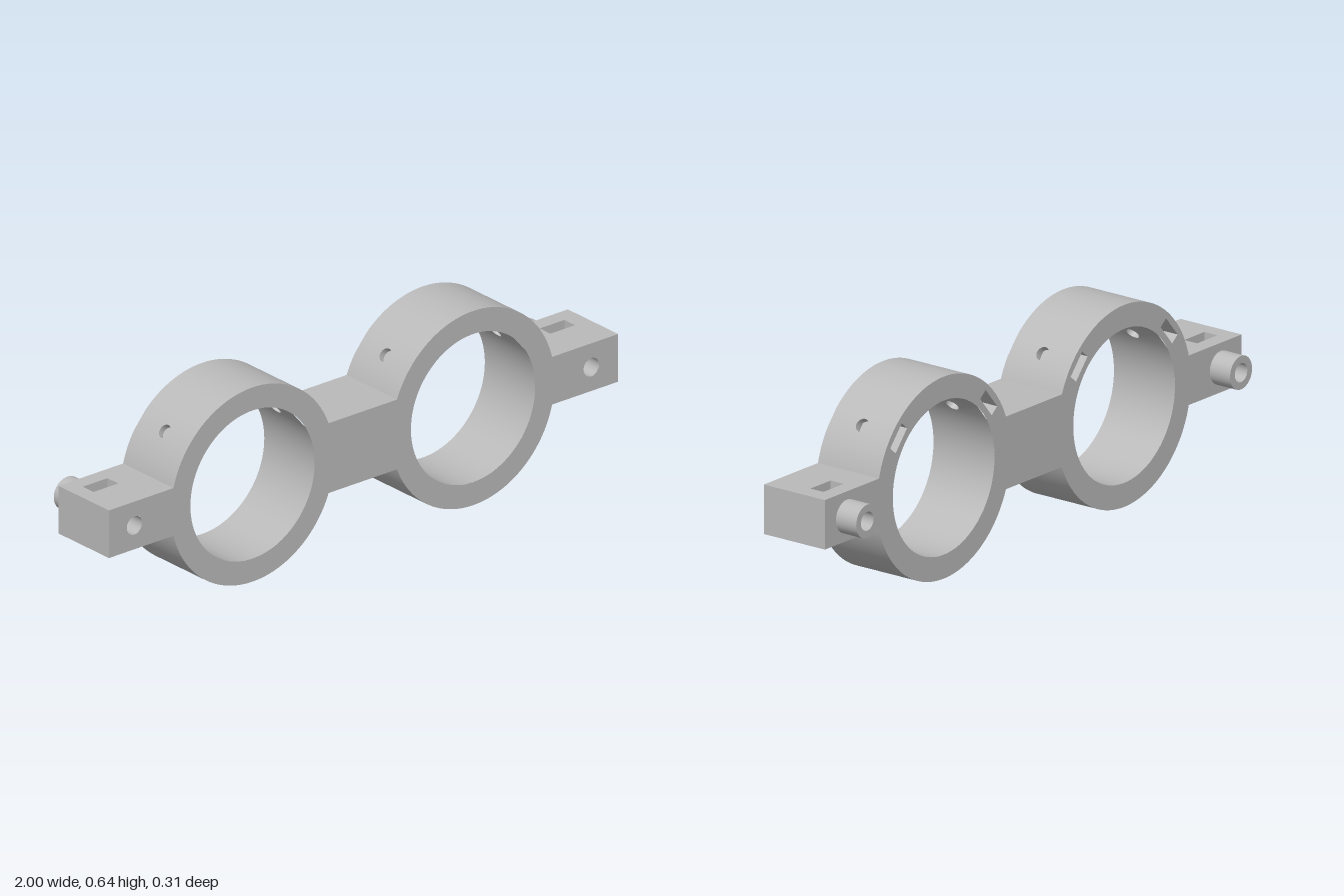
import * as THREE from 'three';
import { mergeGeometries } from 'three/addons/utils/BufferGeometryUtils.js';

const R = 0.32, BORE = 0.244, CX = 0.433, CY = 0.322; // ring radii and centre
const Z0 = -0.077, Z1 = 0.158, ZM = (Z0 + Z1) / 2, DEPTH = Z1 - Z0;
const TAB = 0.0785, BRIDGE = 0.115;                   // half heights
const AT = Math.asin(TAB / R), AB = Math.asin(BRIDGE / R);
const SCREW_X = 0.897, SCREW_R = 0.03, BOSS_R = 0.053, BOSS_Z = -0.155;
const PIN_R = 0.022, PIN_Z = 0.04, PIN_ANGLES = [40, 140].map(THREE.MathUtils.degToRad);
const NUT = { w: 0.086, t: 0.034, r: 0.282, depth: 0.16 };
const SLOT = { w: 0.097, t: 0.05, depth: 0.13 };
const endX = (s) => s + 0.003;
const PI = Math.PI;

const grey = new THREE.MeshStandardMaterial({ color: 0xbababa });
grey.name = 'grey';

function part(name, geometries) {
  const list = geometries.map((g) => (g.index ? g.toNonIndexed() : g));
  const mesh = new THREE.Mesh(mergeGeometries(list), grey);
  mesh.name = name;
  return mesh;
}

// Turn a surface inside out
function flip(g) {
  const i = g.index.array, n = g.attributes.normal.array;
  for (let k = 0; k < i.length; k += 3) [i[k], i[k + 1]] = [i[k + 1], i[k]];
  for (let k = 0; k < n.length; k++) n[k] = -n[k];
  return g;
}

function rectPath(cx, cy, w, h, angle = 0) {
  const c = Math.cos(angle), s = Math.sin(angle);
  return new THREE.Path([[-1, -1], [-1, 1], [1, 1], [1, -1]].map(([a, b]) => {
    const x = a * w / 2, y = b * h / 2;
    return new THREE.Vector2(cx + x * c - y * s, cy + x * s + y * c);
  }));
}
const rectShape = (cx, cy, w, h) => new THREE.Shape(rectPath(cx, cy, w, h).getPoints().reverse());
const circle = (x, y, r) => new THREE.Path().absarc(x, y, r, 0, 2 * PI, true);

// Inner wall of a round hole along z
function bore(r, z0, z1) {
  const g = new THREE.CylinderGeometry(r, r, z1 - z0, 32, 1, true).rotateX(PI / 2);
  return flip(g).translate(0, 0, (z0 + z1) / 2);
}

// Curved wall from angle a0 to a1, optionally pierced in the middle
function bentPatch(r, a0, a1, pierced) {
  const mid = (a0 + a1) / 2, w = (a1 - a0) * r;
  let g;
  if (pierced) {
    const shape = rectShape(0, ZM, w, DEPTH);
    shape.holes.push(circle(0, PIN_Z, PIN_R));
    g = new THREE.ShapeGeometry(shape, 12);
  } else {
    g = new THREE.PlaneGeometry(w, DEPTH, Math.ceil((a1 - a0) / 0.06), 1).translate(0, ZM, 0);
  }
  const p = g.attributes.position, n = g.attributes.normal;
  for (let i = 0; i < p.count; i++) {
    const a = mid + p.getX(i) / r, z = p.getY(i);
    p.setXYZ(i, r * Math.cos(a), r * Math.sin(a), z);
    n.setXYZ(i, Math.cos(a), Math.sin(a), 0);
  }
  return g;
}

// Curved wall with pin holes at both pin angles
function piercedWall(r, a0, a1) {
  const half = 0.035 / r, out = [];
  let a = a0;
  for (const pin of PIN_ANGLES) {
    out.push(bentPatch(r, a, pin - half), bentPatch(r, pin - half, pin + half, true));
    a = pin + half;
  }
  out.push(bentPatch(r, a, a1));
  return out;
}

// Blind nut pocket: mouth at y = 0, sinking along -y, pierced along z
function pocket({ w, t, depth }, holeY, holeR) {
  const side = () => {
    const shape = rectShape(0, -depth / 2, w, depth);
    shape.holes.push(circle(0, holeY, holeR));
    return new THREE.ShapeGeometry(shape, 16);
  };
  return [
    side().translate(0, 0, -t / 2),
    flip(side()).translate(0, 0, t / 2),
    new THREE.PlaneGeometry(t, depth).rotateY(PI / 2).translate(-w / 2, -depth / 2, 0),
    new THREE.PlaneGeometry(t, depth).rotateY(-PI / 2).translate(w / 2, -depth / 2, 0),
    new THREE.PlaneGeometry(w, t).rotateX(-PI / 2).translate(0, -depth, 0),
  ];
}

// Whole silhouette with ring bores and screw holes
function outline() {
  const s = new THREE.Shape();
  s.moveTo(endX(1), -TAB);
  s.lineTo(endX(1), TAB);
  s.absarc(CX, 0, R, AT, PI - AB);
  s.absarc(-CX, 0, R, AB, PI - AT);
  s.lineTo(endX(-1), TAB);
  s.lineTo(endX(-1), -TAB);
  s.absarc(-CX, 0, R, PI + AT, 2 * PI - AB);
  s.absarc(CX, 0, R, PI + AB, 2 * PI - AT);
  for (const k of [-1, 1]) s.holes.push(circle(k * CX, 0, BORE), circle(k * SCREW_X, 0, SCREW_R));
  return s;
}

export function createModel() {
  const model = new THREE.Group();
  model.name = 'doubleRingClamp';
  model.position.set(-0.003, CY, 0);

  // Front and back faces
  const back = outline();
  for (const k of [-1, 1]) for (const a of PIN_ANGLES) {
    back.holes.push(rectPath(k * CX + NUT.r * Math.cos(a), NUT.r * Math.sin(a), NUT.t, NUT.w, a));
  }
  model.add(part('frontFace', [new THREE.ShapeGeometry(outline(), 64).translate(0, 0, Z1)]));
  model.add(part('backFace', [flip(new THREE.ShapeGeometry(back, 64)).translate(0, 0, Z0)]));

  // Bridge between the rings
  const bw = 2 * (CX - R * Math.cos(AB));
  model.add(part('bridge', [1, -1].map((k) =>
    new THREE.PlaneGeometry(bw, DEPTH).rotateX(-k * PI / 2).translate(0, k * BRIDGE, ZM))));

  for (const s of [1, -1]) {
    const label = s > 0 ? 'left' : 'right';

    // Ring walls
    const right = s > 0 ? AT : AB, left = s > 0 ? AB : AT;
    const ring = new THREE.Group();
    ring.name = label + 'Ring';
    ring.position.x = s * CX;
    ring.add(part('outerWall', [
      ...piercedWall(R, right, PI - left),
      bentPatch(R, PI + left, 2 * PI - right),
    ]));
    ring.add(part('innerWall', piercedWall(BORE, 0, 2 * PI).map(flip)));

    // Nut pockets and radial pin holes
    for (const a of PIN_ANGLES) {
      const m = new THREE.Matrix4().makeBasis(
        new THREE.Vector3(Math.sin(a), -Math.cos(a), 0),
        new THREE.Vector3(0, 0, -1),
        new THREE.Vector3(Math.cos(a), Math.sin(a), 0));
      const nut = pocket(NUT, Z0 - PIN_Z, PIN_R)
        .map((g) => g.translate(0, -Z0, NUT.r).applyMatrix4(m));
      const pins = [[BORE - 0.001, NUT.r - NUT.t / 2], [NUT.r + NUT.t / 2, R - 0.0005]]
        .map(([z0, z1]) => bore(PIN_R, z0, z1).translate(0, -PIN_Z, 0).applyMatrix4(m));
      ring.add(part('nutPocket', nut), part('pinHole', pins));
    }
    model.add(ring);

    // Mounting tab with a nut slot in its top
    const x0 = s * (CX + R * Math.cos(AT)), x1 = endX(s);
    const cx = (x0 + x1) / 2, w = Math.abs(x1 - x0);
    const top = rectShape(cx, -ZM, w, DEPTH);
    top.holes.push(rectPath(s * SCREW_X, 0, SLOT.w, SLOT.t));
    const tab = new THREE.Group();
    tab.name = label + 'Tab';
    tab.add(part('tabWalls', [
      new THREE.ShapeGeometry(top).rotateX(-PI / 2).translate(0, TAB, 0),
      new THREE.PlaneGeometry(w, DEPTH).rotateX(PI / 2).translate(cx, -TAB, ZM),
      new THREE.PlaneGeometry(DEPTH, 2 * TAB).rotateY(s * PI / 2).translate(x1, 0, ZM),
    ]));
    tab.add(part('nutSlot', pocket(SLOT, -TAB, SCREW_R)
      .map((g) => g.translate(s * SCREW_X, TAB, 0))));

    // Screw channel and rear boss
    tab.add(part('screwHole', [[BOSS_Z, -SLOT.t / 2], [SLOT.t / 2, Z1]]
      .map(([z0, z1]) => bore(SCREW_R, z0, z1).translate(s * SCREW_X, 0, 0))));
    tab.add(part('boss', [
      new THREE.CylinderGeometry(BOSS_R, BOSS_R, Z0 - BOSS_Z, 40, 1, true)
        .rotateX(PI / 2).translate(s * SCREW_X, 0, (Z0 + BOSS_Z) / 2),
      new THREE.RingGeometry(SCREW_R, BOSS_R, 40).rotateY(PI).translate(s * SCREW_X, 0, BOSS_Z),
    ]));
    model.add(tab);
  }
  return model;
}
